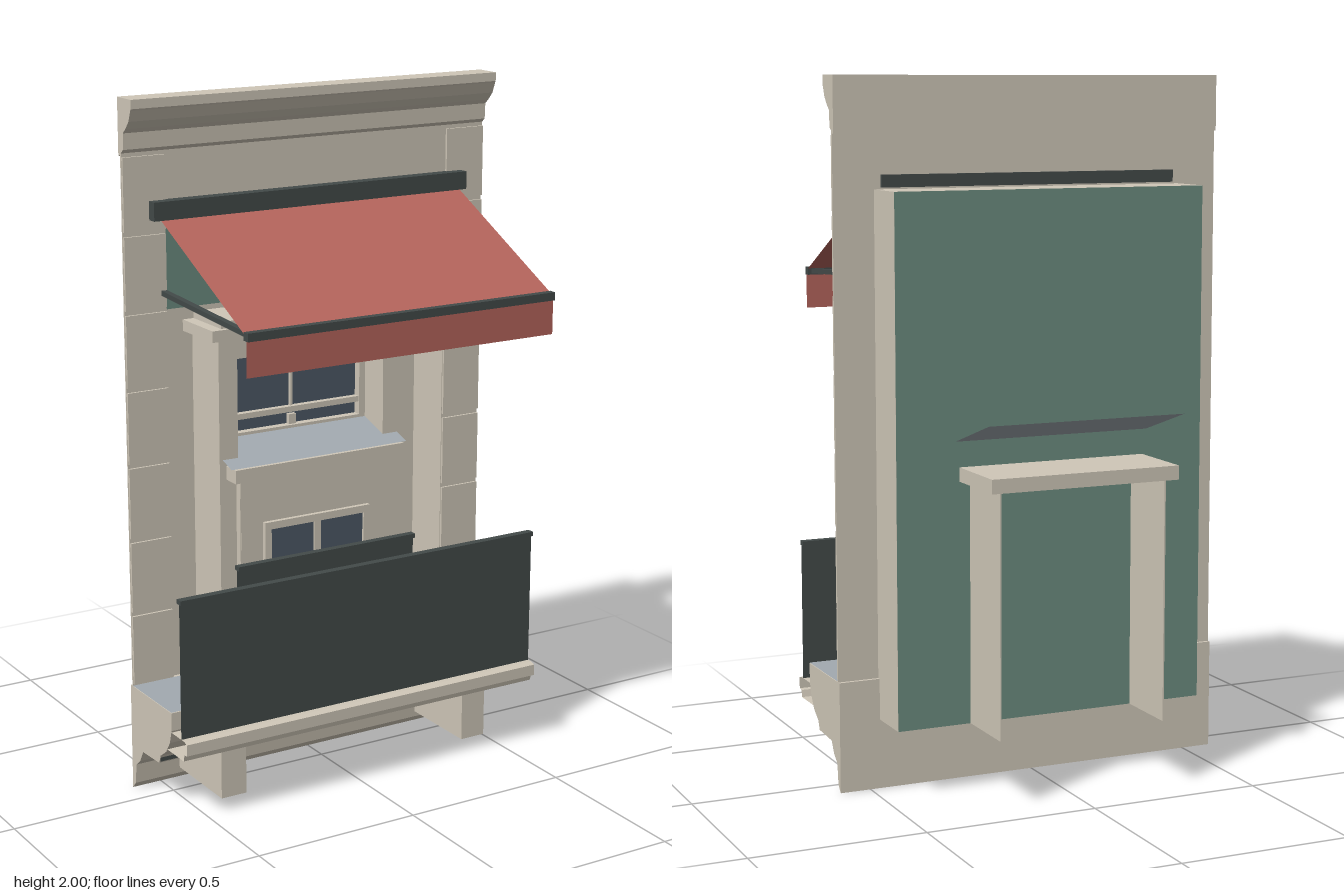
import * as THREE from 'three';

const mat = (name, color, side = THREE.FrontSide) => {
  const m = new THREE.MeshStandardMaterial({ color, side });
  m.name = name;
  return m;
};

export function createModel() {
  const stone = mat('stone', 0xcfc7b8, THREE.DoubleSide);
  const iron = mat('dark iron', 0x434a49, THREE.DoubleSide);
  const canvas = mat('red canvas', 0xb5655c, THREE.DoubleSide);
  const glass = mat('window glass', 0x4d5966);
  const lead = mat('lead sheet', 0xa2aab0, THREE.DoubleSide);
  const green = mat('green lining', 0x6c8c80, THREE.DoubleSide);

  const root = new THREE.Group();
  const add = (name, geo, material) => {
    const m = new THREE.Mesh(geo, material);
    m.name = name;
    root.add(m);
    return m;
  };
  // box given by its limits on each axis
  const box = (name, material, x0, x1, y0, y1, z0, z1) => {
    const m = add(name, new THREE.BoxGeometry(x1 - x0, y1 - y0, z1 - z0), material);
    m.position.set((x0 + x1) / 2, (y0 + y1) / 2, (z0 + z1) / 2);
    return m;
  };
  // rectangular sheet from a back edge (y0, z0) to a front edge (y1, z1)
  const sheet = (name, material, w, y0, z0, y1, z1) => {
    const g = new THREE.BufferGeometry();
    g.setAttribute('position', new THREE.Float32BufferAttribute(
      [-w, y0, z0, -w, y1, z1, w, y1, z1, w, y0, z0], 3));
    g.setIndex([0, 1, 2, 0, 2, 3]);
    g.computeVertexNormals();
    return add(name, g, material);
  };
  // closed (z, y) profile extruded along the whole width
  const moulding = (name, w, pts) => {
    const s = new THREE.Shape(pts.map(([z, y]) => new THREE.Vector2(-z, y)));
    const g = new THREE.ExtrudeGeometry(s, { depth: 2 * w, bevelEnabled: false });
    g.translate(0, 0, -w).rotateY(Math.PI / 2);
    return add(name, g, stone);
  };
  // plate with a rectangular hole, facing +z
  const holed = (name, material, o, h, z0, z1) => {
    const rect = (T, [x, y0, y1]) => new T([[-x, y0], [x, y0], [x, y1], [-x, y1]]
      .map(p => new THREE.Vector2(...p)));
    const s = rect(THREE.Shape, o);
    s.holes.push(rect(THREE.Path, h));
    const g = new THREE.ExtrudeGeometry(s, { depth: z1 - z0, bevelEnabled: false });
    g.translate(0, 0, z0);
    return add(name, g, material);
  };

  // Facade wall with a deep recess behind it
  holed('facadeWall', stone, [0.59, 0.1, 1.88], [0.46, 0.2, 1.68], -0.07, -0.065);
  holed('recessLining', stone, [0.47, 0.2, 1.69], [0.46, 0.21, 1.68], -0.22, -0.07);
  sheet('recessBack', stone, 0.465, 1.685, -0.216, 0.2, -0.216);
  sheet('recessOuterPanel', green, 0.47, 1.69, -0.221, 0.2, -0.221);
  sheet('recessUpperLining', green, 0.46, 1.68, -0.21, 1.37, -0.21);

  // Corner blocks with narrow joints
  for (const s of [-1, 1]) {
    for (let i = 0; i < 7; i++) {
      const y = 0.325 + i * 0.218;
      const a = s * 0.462, b = s * 0.589;
      box('cornerBlock', stone, Math.min(a, b), Math.max(a, b), y, y + 0.205, -0.066, -0.058);
    }
  }

  // Top cornice
  moulding('topCornice', 0.59, [[-0.08, 1.84], [-0.07, 1.845], [-0.052, 1.86], [-0.05, 1.905],
    [-0.035, 1.918], [-0.015, 1.94], [-0.003, 1.97], [0, 1.975], [0, 2], [-0.08, 2]]);

  // Lower cornice, its cover and balcony slab
  moulding('lowerCornice', 0.59, [[-0.08, 0], [-0.062, 0.02], [-0.055, 0.08], [-0.03, 0.1],
    [-0.01, 0.135], [0.09, 0.14], [0.1, 0.165], [0.135, 0.19], [0.158, 0.225], [0.17, 0.265],
    [0.17, 0.318], [-0.08, 0.318]]);
  sheet('corniceCover', lead, 0.59, 0.32, -0.065, 0.32, 0.17);
  const edge = [[0.1, 0.26], [0.245, 0.26], [0.26, 0.255], [0.26, 0.222], [0.245, 0.22],
    [0.24, 0.2], [0.1, 0.2]];
  for (let i = 0; i < edge.length - 1; i++) {
    sheet('balconySlabEdge', stone, 0.59, edge[i][1], edge[i][0], edge[i + 1][1], edge[i + 1][0]);
  }
  for (const x of [-0.41, 0.41]) {
    box('balconyBracket', stone, x - 0.04, x + 0.04, 0.04, 0.2, -0.055, 0.2);
  }
  for (const x of [-0.48, -0.22, 0, 0.22, 0.48]) {
    box('corniceBlock', stone, x - 0.02, x + 0.02, 0.14, 0.155, 0.02, 0.1);
  }
  box('corniceUndersideBand', iron, -0.588, 0.588, 0.146, 0.158, 0.085, 0.0975);

  // Balcony screens with top rails
  sheet('frontScreen', iron, 0.59, 0.66, 0.228, 0.26, 0.228);
  box('frontRail', iron, -0.59, 0.59, 0.655, 0.668, 0.214, 0.237);
  sheet('innerScreen', iron, 0.3, 0.65, 0.03, 0.32, 0.03);
  box('innerRail', iron, -0.3, 0.3, 0.644, 0.657, 0.02, 0.042);

  // Upper window surround
  holed('windowSurround', stone, [0.305, 0.2, 1.3], [0.245, 0.94, 1.24], -0.21, -0.055);
  box('windowHood', stone, -0.335, 0.335, 1.302, 1.335, -0.21, -0.032);
  box('windowHoodTop', stone, -0.3, 0.3, 1.335, 1.355, -0.21, -0.047);
  box('keystone', stone, -0.032, 0.032, 1.235, 1.31, -0.1, -0.045);

  // Upper sash window
  box('upperWindowGlass', glass, -0.24, 0.24, 0.96, 1.235, -0.19, -0.18);
  holed('sashFrame', stone, [0.245, 0.95, 1.24], [0.225, 0.99, 1.222], -0.18, -0.155);
  box('sashMeetingRail', stone, -0.228, 0.228, 1.028, 1.045, -0.18, -0.16);
  box('sashBar', stone, -0.004, 0.004, 1.04, 1.222, -0.18, -0.17);
  box('sashCatch', stone, -0.012, 0.012, 0.985, 1.02, -0.18, -0.165);

  // Lower bay: front, open-backed cheeks, slab and sloping cover
  box('bayFront', stone, -0.25, 0.25, 0.2, 0.89, -0.05, -0.032);
  for (const x of [-0.25, 0.25]) {
    box('bayCheek', stone, x - 0.002, x + 0.002, 0.2, 0.89, -0.425, -0.033);
  }
  box('baySlab', stone, -0.283, 0.283, 0.89, 0.93, -0.443, 0);
  sheet('bayCover', lead, 0.295, 1.075, -0.45, 0.933, -0.003);

  // Lower window with two lights
  holed('lowerWindowFrame', stone, [0.178, 0.33, 0.752], [0.157, 0.36, 0.73], -0.034, -0.018);
  box('lowerWindowGlass', glass, -0.16, 0.16, 0.35, 0.735, -0.034, -0.026);
  box('lowerWindowMullion', stone, -0.011, 0.011, 0.355, 0.735, -0.034, -0.02);

  // Awning
  box('awningHousing', iron, -0.512, 0.512, 1.662, 1.714, -0.065, -0.028);
  box('awningBackBar', iron, -0.45, 0.45, 1.695, 1.73, -0.08, -0.068);
  sheet('awningCanvas', canvas, 0.49, 1.662, -0.03, 1.435, 0.43);
  sheet('awningValance', canvas, 0.49, 1.425, 0.437, 1.322, 0.437);
  box('awningFrontBar', iron, -0.49, 0.49, 1.42, 1.443, 0.422, 0.445);
  for (const x of [-0.47, 0.47]) {
    const arm = box('awningArm', iron, x - 0.009, x + 0.009, 1.436, 1.45, -0.065, 0.435);
    arm.rotation.x = 0.05;
  }
  return root;
}
